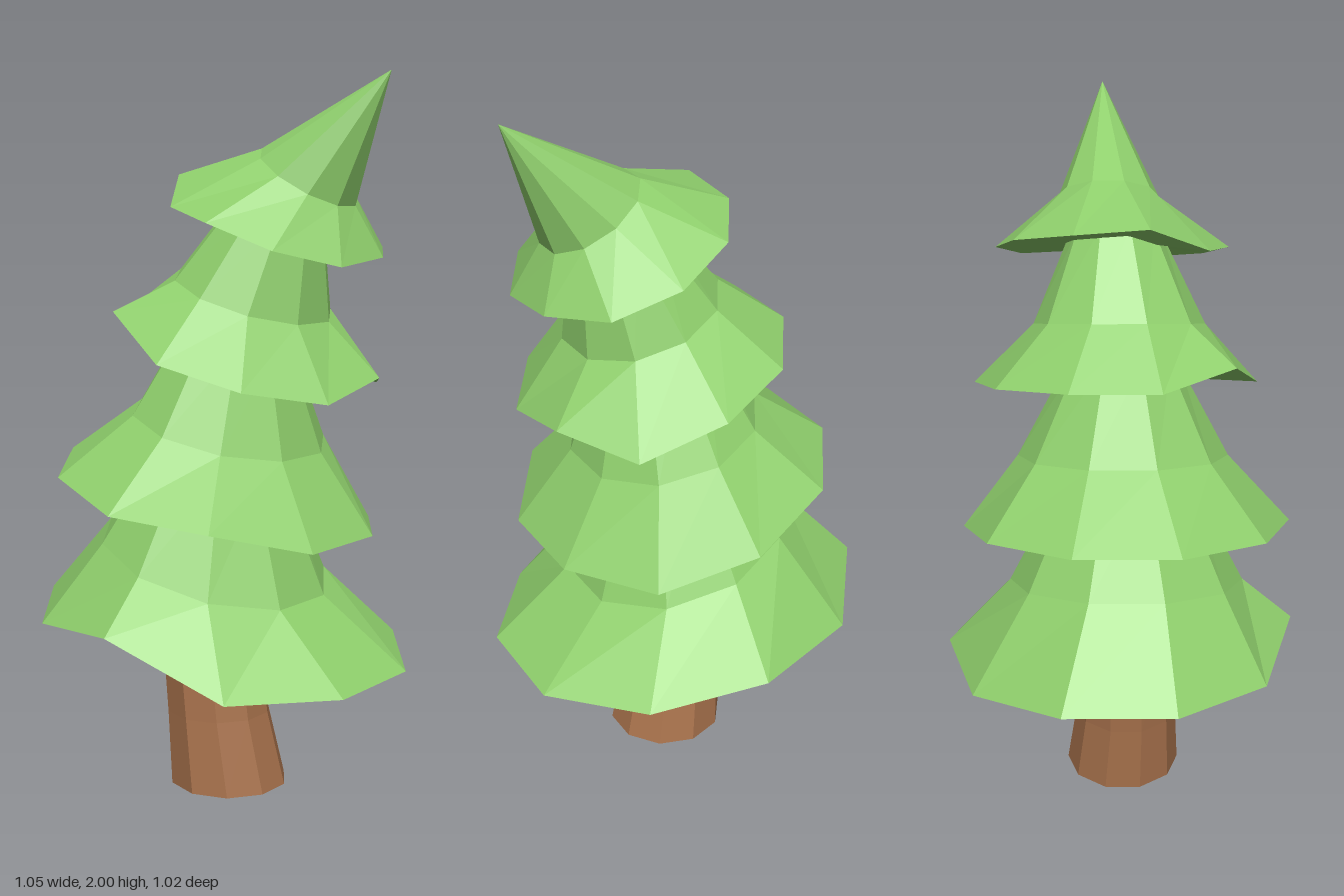
import * as THREE from 'three';

const SIDES = 10;

// Tilted ring, running from the back round by +x to the front.
// slope is dy/dx; lifts raises single corners so that a rim looks uneven.
function ring([cx, cy, cz], rx, rz, slope = 0, lifts = {}) {
  return Array.from({ length: SIDES }, (_, i) => {
    const a = (i / SIDES) * Math.PI * 2;
    const dx = rx * Math.sin(a);
    return new THREE.Vector3(cx + dx, cy + slope * dx + (lifts[i] ?? 0), cz - rz * Math.cos(a));
  });
}

// Faceted skin over successive rings, from the bottom up; a ring of zero radius closes an end.
function loft(name, rings, material) {
  const corners = [];
  const addTriangle = (a, b, c) => {
    if (new THREE.Triangle(a, b, c).getArea() > 1e-8) corners.push(a, b, c);
  };
  for (let r = 0; r < rings.length - 1; r++) {
    const [low, high] = [rings[r], rings[r + 1]];
    for (let i = 0; i < SIDES; i++) {
      const j = (i + 1) % SIDES;
      addTriangle(low[j], low[i], high[i]);
      addTriangle(low[j], high[i], high[j]);
    }
  }
  const geometry = new THREE.BufferGeometry().setFromPoints(corners);
  geometry.computeVertexNormals();
  const mesh = new THREE.Mesh(geometry, material);
  mesh.name = name;
  return mesh;
}

export function createModel() {
  const tree = new THREE.Group();
  tree.name = 'leaningPineTree';
  const green = new THREE.MeshStandardMaterial({ color: 0x8fcf6c, flatShading: true });
  const brown = new THREE.MeshStandardMaterial({ color: 0xa8724c, flatShading: true });

  // Trunk, bending to one side as it rises
  const foot = [0.03, 0, 0.01];
  const head = [-0.04, 0.56, 0.02];
  tree.add(loft('trunk', [
    ring(foot, 0, 0),
    ring(foot, 0.17, 0.17),
    ring([0, 0.21, 0.02], 0.15, 0.15),
    ring(head, 0.14, 0.145),
    ring(head, 0, 0),
  ], brown));

  // Foliage tiers: shallow underside, drooping rim, waist, then a narrow neck or the tip
  const addTier = (name, centre, rx, rz, slope, lifts, upper) => {
    const [x, y, z] = centre;
    const underside = ring([x, y + 0.02, z], 0, 0);
    tree.add(loft(name, [underside, ring(centre, rx, rz, slope, lifts), ...upper], green));
  };

  addTier('bottomFoliage', [0, 0.445, 0], 0.55, 0.51, -0.14, { 4: -0.02, 5: 0.08, 9: -0.03 }, [
    ring([-0.01, 0.66, 0.02], 0.32, 0.34, -0.3),
    ring([0.02, 0.95, 0.02], 0.17, 0.19, -0.4),
    ring([0.02, 0.97, 0.02], 0, 0),
  ]);
  addTier('lowerMiddleFoliage', [0, 0.85, 0.02], 0.45, 0.47, -0.235, { 0: -0.02, 1: -0.04, 4: 0.03 }, [
    ring([0.035, 1.04, 0.01], 0.26, 0.3, -0.27),
    ring([0.07, 1.3, 0.01], 0.145, 0.16, -0.4),
    ring([0.07, 1.32, 0.01], 0, 0),
  ]);
  addTier('upperMiddleFoliage', [0.085, 1.245, -0.01], 0.37, 0.4, -0.3, { 1: -0.03, 2: 0.05, 6: 0.06 }, [
    ring([0.11, 1.41, 0], 0.21, 0.24, -0.35),
    ring([0.195, 1.64, -0.01], 0.115, 0.13, -0.5),
    ring([0.2, 1.65, -0.01], 0, 0),
  ]);
  addTier('topFoliage', [0.18, 1.61, -0.02], 0.285, 0.325, -0.42, { 2: 0.02, 6: -0.03, 7: 0.015 }, [
    ring([0.268, 1.73, -0.03], 0.13, 0.14, -0.62),
    ring([0.513, 2, -0.048], 0, 0),
  ]);
  return tree;
}
